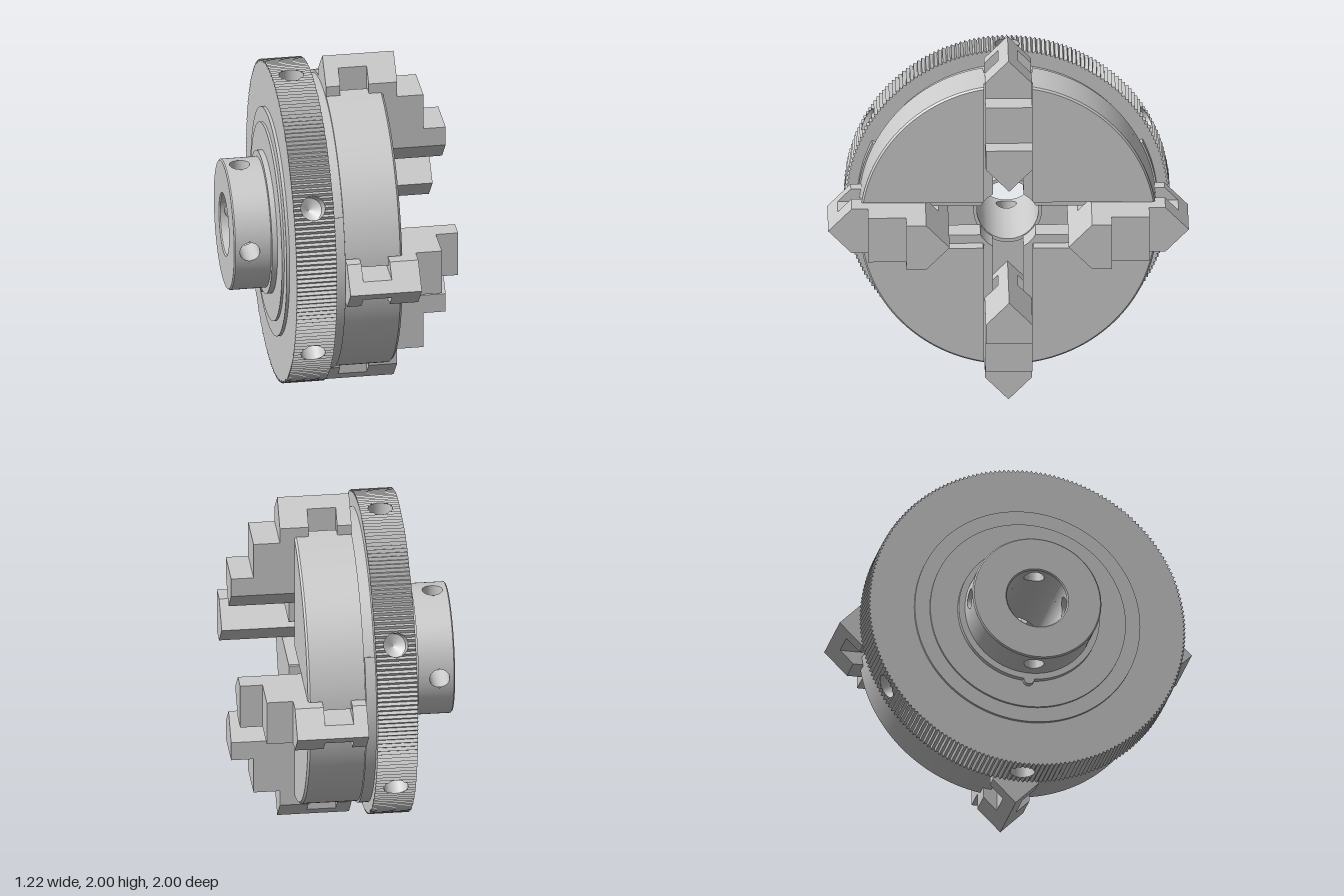
import * as THREE from 'three';
import { toCreasedNormals } from 'three/addons/utils/BufferGeometryUtils.js';

const grey = new THREE.MeshStandardMaterial({ color: 0xcccccc });
const open = new THREE.MeshStandardMaterial({ color: 0xcccccc, side: THREE.DoubleSide });
const flat = new THREE.MeshStandardMaterial({ color: 0xcccccc, side: THREE.DoubleSide, flatShading: true });

const BORE = 0.171;
const TAU = Math.PI * 2;

function add(parent, name, geometry, material = grey) {
  const mesh = new THREE.Mesh(geometry, material);
  mesh.name = name;
  parent.add(mesh);
  return mesh;
}

function extrude(shape, z0, z1) {
  const geo = new THREE.ExtrudeGeometry(shape, { depth: z1 - z0, bevelEnabled: false, curveSegments: 48 });
  return geo.translate(0, 0, z0);
}

// Revolve [radius, z] points around the chuck axis (local z)
function revolve(points) {
  const geo = new THREE.LatheGeometry(points.map(([r, z]) => new THREE.Vector2(r, z)), 128);
  return toCreasedNormals(geo.rotateX(Math.PI / 2), 0.5);
}

// Cylindrical wall around z, pierced by evenly spaced round radial holes
function drilledBand(radiusAt, z0, z1, zc, holeR, count, cols) {
  const pos = [];
  const step = TAU / count;
  const column = (i) => {
    const t = (i / cols) * TAU, r = radiusAt(i);
    const d = t - Math.PI / 2;
    const s = r * Math.sin(d - Math.round(d / step) * step);
    const h = Math.sqrt(Math.max(0, holeR * holeR - s * s));
    return { x: r * Math.cos(t), y: r * Math.sin(t), h };
  };
  const quad = (a, b, a0, a1, b0, b1) => pos.push(
    a.x, a.y, a0, b.x, b.y, b0, b.x, b.y, b1,
    a.x, a.y, a0, b.x, b.y, b1, a.x, a.y, a1);
  for (let i = 0; i < cols; i++) {
    const a = column(i), b = column(i + 1);
    quad(a, b, z0, zc - a.h, z0, zc - b.h);
    quad(a, b, zc + a.h, z1, zc + b.h, z1);
  }
  const geo = new THREE.BufferGeometry();
  geo.setAttribute('position', new THREE.Float32BufferAttribute(pos, 3));
  geo.computeVertexNormals();
  return geo;
}

// Flat annulus whose rim follows radiusAt
function endFace(inner, radiusAt, z, cols) {
  const geo = new THREE.RingGeometry(inner, 1, cols, 1);
  const p = geo.attributes.position;
  for (let i = cols + 1; i < p.count; i++) {
    const r = radiusAt(i - cols - 1);
    p.setXY(i, p.getX(i) * r, p.getY(i) * r);
  }
  return geo.translate(0, 0, z);
}

// Radial hole wall with both ends fitted to concentric cylinders
function holeWall(radius, inner, outer, zc) {
  const geo = new THREE.CylinderGeometry(radius, radius, 1, 32, 1, true);
  const p = geo.attributes.position;
  for (let i = 0; i < p.count; i++) {
    const r = p.getY(i) > 0 ? outer : inner;
    p.setY(i, Math.sqrt(r * r - p.getX(i) ** 2));
  }
  return geo.translate(0, 0, zc);
}

// One quarter of the slotted body; w is the half width of the slots
function quadrant(w, inner, z0, z1, taper = 0) {
  const R = 0.825, a = Math.asin(w / R), b = Math.asin(w / inner);
  const shape = new THREE.Shape();
  shape.absarc(0, 0, R, a, Math.PI / 2 - a, false);
  shape.absarc(0, 0, inner, Math.PI / 2 - b, b, true);
  const geo = extrude(shape, z0, z1);
  const p = geo.attributes.position;
  for (let i = 0; i < p.count; i++) {
    const x = p.getX(i), y = p.getY(i);
    if (taper && p.getZ(i) > z1 - 0.001 && Math.hypot(x, y) > 0.8) {
      // pull the rim in while keeping the slot sides straight
      p.setXY(i, Math.max(w, x * (1 - taper)), Math.max(w, y * (1 - taper)));
    }
  }
  return toCreasedNormals(geo, 0.5);
}

// Jaw plan: pointed inner end, pointed or square outer end, along +y
function jawLayer(w, outer, pointed, z0, z1) {
  const pts = [[0, 0.33], [w, 0.33 + w]];
  if (pointed) pts.push([w, outer - w], [0, outer], [-w, outer - w]);
  else pts.push([w, outer], [-w, outer]);
  pts.push([-w, 0.33 + w]);
  return extrude(new THREE.Shape(pts.map(([x, y]) => new THREE.Vector2(x, y))), z0, z1);
}

export function createModel() {
  const model = new THREE.Group();
  model.name = 'fourJawChuck';
  const chuck = new THREE.Group();
  chuck.name = 'chuck';
  chuck.rotation.y = Math.PI / 2; // local z becomes the x axis
  chuck.position.y = 1;
  model.add(chuck);

  // Mounting hub with four through holes
  const hub = new THREE.Group();
  hub.name = 'hub';
  chuck.add(hub);
  for (const [name, r] of [['hubWall', 0.365], ['hubBore', BORE]]) {
    const band = drilledBand(() => r, -0.605, -0.4, -0.525, 0.056, 4, 288);
    add(hub, name, toCreasedNormals(band, 0.5), open);
  }
  add(hub, 'hubEdge', revolve([[BORE, -0.605], [BORE + 0.007, -0.612], [0.358, -0.612], [0.365, -0.605]]), open);
  for (let i = 0; i < 4; i++) {
    add(hub, 'hubHole', holeWall(0.056, BORE, 0.365, -0.525), open).rotation.z = i * Math.PI / 2;
  }

  // Stepped core: rear flanges, plate behind the body, bore sleeve
  add(chuck, 'core', revolve([
    [BORE, -0.405], [0.4, -0.405], [0.4, -0.375], [0.555, -0.375], [0.555, -0.362],
    [0.64, -0.362], [0.64, -0.345], [0.64, -0.12], [0.81, -0.12], [0.81, -0.06],
    [0.19, -0.06], [0.19, 0.015], [BORE, 0.015], [BORE, -0.405],
  ]), open);
  const pin = new THREE.CylinderGeometry(0.03, 0.03, 0.03, 24).rotateX(Math.PI / 2);
  add(chuck, 'rearPin', pin).position.set(0, -0.4, -0.39);

  // Raised band around the lower part of the plate
  const lip = new THREE.Shape();
  const lipStart = Math.PI * 154 / 180, lipEnd = Math.PI * 386 / 180;
  lip.absarc(0, 0, 0.835, lipStart, lipEnd, false);
  lip.absarc(0, 0, 0.8, lipEnd, lipStart, true);
  add(chuck, 'plateLip', toCreasedNormals(extrude(lip, -0.12, -0.062), 0.5));

  // Knurled scroll ring with six blind key holes
  const ring = new THREE.Group();
  ring.name = 'scrollRing';
  chuck.add(ring);
  const cols = 216 * 4;
  const knurl = (i) => 0.902 - 0.0075 * (2 - Math.abs((i % 4) - 2));
  add(ring, 'knurledRim', drilledBand(knurl, -0.345, -0.12, -0.235, 0.068, 6, cols), flat);
  for (const z of [-0.345, -0.12]) add(ring, 'ringFace', endFace(0.5, knurl, z, cols), flat);
  for (let i = 0; i < 6; i++) {
    const hole = new THREE.Group();
    hole.name = 'keyHole';
    hole.rotation.z = i * TAU / 6;
    ring.add(hole);
    add(hole, 'keyHoleWall', holeWall(0.068, 0.75, 0.895, -0.235), open);
    const tip = new THREE.ConeGeometry(0.068, 0.04, 32, 1, true).rotateX(Math.PI);
    add(hole, 'keyHoleTip', tip.translate(0, 0.729, -0.235), open);
  }

  for (let i = 0; i < 4; i++) {
    const angle = i * Math.PI / 2;

    // Body quarter with guide tongues reaching into the slots
    const quarter = new THREE.Group();
    quarter.name = 'bodyQuarter';
    quarter.rotation.z = angle;
    chuck.add(quarter);
    add(quarter, 'bodyRear', quadrant(0.135, 0.195, -0.06, 0.02));
    add(quarter, 'guideTongue', quadrant(0.085, 0.175, 0.02, 0.18));
    add(quarter, 'bodyFront', quadrant(0.135, 0.195, 0.18, 0.248));
    add(quarter, 'bodyEdge', quadrant(0.135, 0.195, 0.248, 0.26, 0.012));

    // Stepped jaw with side grooves
    const jaw = new THREE.Group();
    jaw.name = 'jaw';
    jaw.rotation.z = angle;
    chuck.add(jaw);
    add(jaw, 'jawFoot', jawLayer(0.13, 1, true, -0.06, 0.02));
    add(jaw, 'jawWeb', jawLayer(0.055, 1, true, 0.02, 0.18));
    add(jaw, 'jawBase', jawLayer(0.13, 1, true, 0.18, 0.34));
    add(jaw, 'jawMiddleStep', jawLayer(0.13, 0.78, false, 0.34, 0.487));
    add(jaw, 'jawTopStep', jawLayer(0.13, 0.57, false, 0.487, 0.612));
  }
  return model;
}
